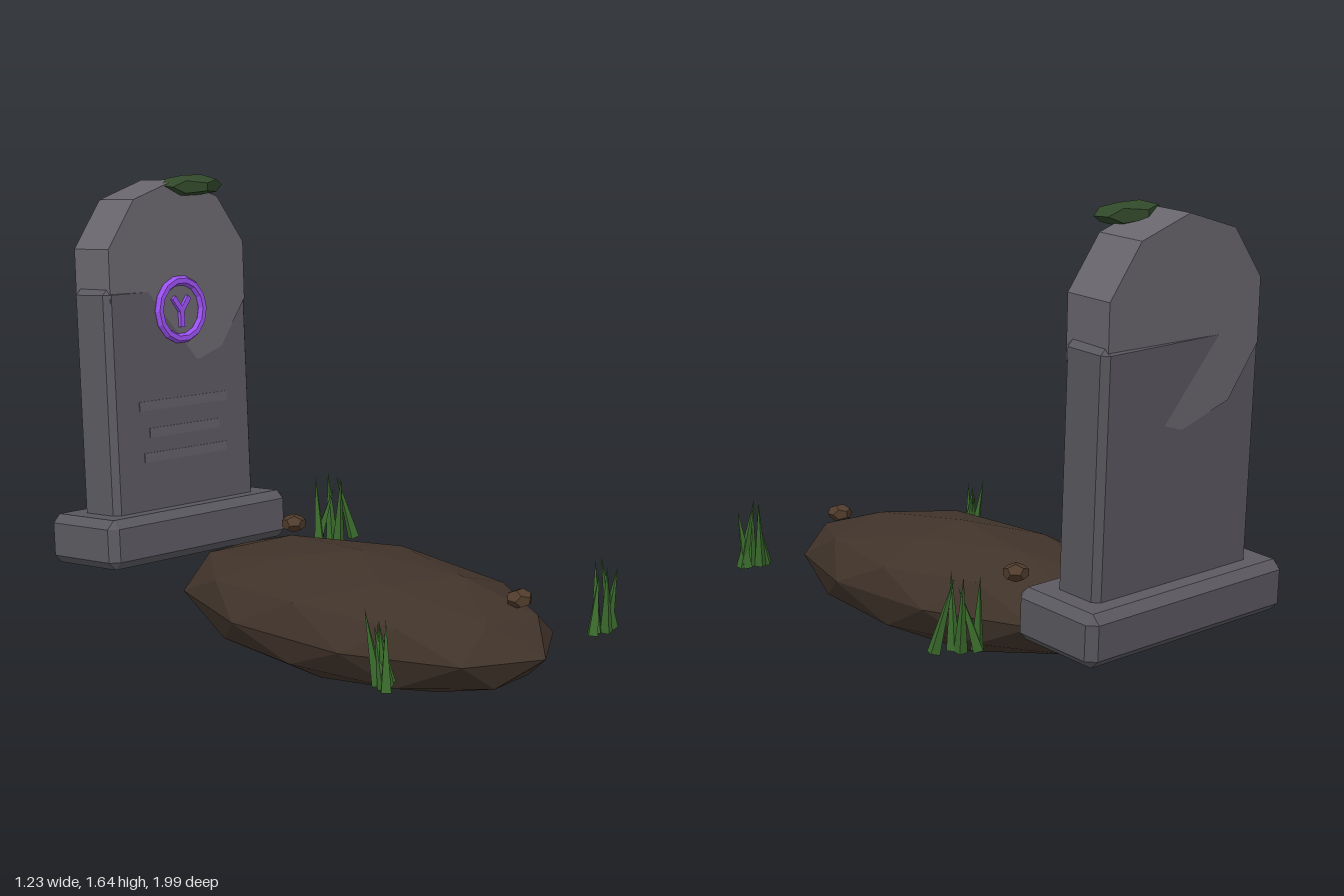
import * as THREE from 'three';
import { ConvexGeometry } from 'three/addons/geometries/ConvexGeometry.js';

const mat = (color) => new THREE.MeshStandardMaterial({ color, flatShading: true });
const stone = mat(0x5a585f);
const headStone = mat(0x68656c);
const carved = mat(0x605e65);
const rune = mat(0x9a50f0);
const earth = mat(0x40332a);
const pebbleEarth = mat(0x503c2c);
const mossGreen = mat(0x31482a);
const grassGreen = mat(0x3a6a2c);

function part(parent, name, geometry, material, x = 0, y = 0, z = 0) {
  const mesh = new THREE.Mesh(geometry, material);
  mesh.name = name;
  mesh.position.set(x, y, z);
  parent.add(mesh);
  return mesh;
}

// Box with every edge and corner cut at 45 degrees
function chamferBox(w, h, d, c) {
  const pts = [];
  for (const sx of [-1, 1]) for (const sy of [-1, 1]) for (const sz of [-1, 1]) {
    const [x, y, z] = [w / 2, h / 2, d / 2];
    pts.push(
      new THREE.Vector3(sx * x, sy * (y - c), sz * (z - c)),
      new THREE.Vector3(sx * (x - c), sy * y, sz * (z - c)),
      new THREE.Vector3(sx * (x - c), sy * (y - c), sz * z)
    );
  }
  return new ConvexGeometry(pts);
}

// Straight bar between two points of the emblem plane
function bar(parent, name, x1, y1, x2, y2, z) {
  const len = Math.hypot(x2 - x1, y2 - y1);
  const m = part(parent, name, new THREE.BoxGeometry(0.02, len, 0.02), rune, (x1 + x2) / 2, (y1 + y2) / 2, z);
  m.rotation.z = Math.atan2(y2 - y1, x2 - x1) - Math.PI / 2;
}

function createHeadstone() {
  const g = new THREE.Group();
  g.name = 'headstone';
  g.position.set(-0.08, 0.335, -0.77);
  g.rotation.set(-0.105, 0, -0.062);

  part(g, 'plinth', chamferBox(0.89, 0.18, 0.36, 0.03), stone);
  part(g, 'slab', chamferBox(0.7, 0.9, 0.19, 0.022), stone, 0, 0.46, 0);

  // Ten-sided head, slightly skewed so it emerges through the slab
  const head = new THREE.CylinderGeometry(0.347, 0.347, 0.19, 10).rotateX(Math.PI / 2);
  part(g, 'roundedHead', head, headStone, 0, 0.945, 0.003).rotation.set(0.013, -0.015, 0);

  // Emblem: ring with a three-armed fork
  const ey = 0.815, ez = 0.1;
  part(g, 'emblemRing', new THREE.TorusGeometry(0.108, 0.018, 6, 14), rune, 0, ey, ez);
  bar(g, 'emblemStem', 0, ey - 0.065, 0, ey, ez);
  for (const s of [-1, 1]) bar(g, 'emblemArm', 0, ey - 0.005, s * 0.038, ey + 0.045, ez);

  // Worn strips across the face
  [[0.475, 0.44], [0.375, 0.35], [0.285, 0.41]].forEach(([y, w]) =>
    part(g, 'faceStrip', new THREE.BoxGeometry(w, 0.034, 0.014), carved, 0, y, 0.091));
  return g;
}

function createMound() {
  // Faceted ball with its five-fold axis upright
  const geo = new THREE.IcosahedronGeometry(1, 1)
    .rotateX(-Math.atan((1 + Math.sqrt(5)) / 2))
    .rotateY(Math.PI / 10)
    .scale(0.41, 0.218, 0.797);
  const mound = new THREE.Mesh(geo, earth);
  mound.name = 'earthMound';
  mound.position.set(-0.09, 0.221, 0.203);
  mound.rotation.x = -0.02;
  return mound;
}

// Blades as [baseX, baseZ, tipX, tipZ, height]
const CLUMPS = [
  [[-0.595, 0.76, -0.575, 0.74, 0.23], [-0.565, 0.7, -0.585, 0.66, 0.25], [-0.555, 0.73, -0.575, 0.71, 0.22],
    [-0.525, 0.71, -0.56, 0.69, 0.2], [-0.58, 0.74, -0.55, 0.67, 0.19]],
  [[0.275, 0.92, 0.33, 0.9, 0.2], [0.31, 0.91, 0.335, 0.88, 0.25], [0.34, 0.93, 0.32, 0.94, 0.24],
    [0.385, 0.92, 0.34, 0.9, 0.26], [0.37, 0.91, 0.395, 0.93, 0.22]],
  [[0.46, -0.525, 0.515, -0.49, 0.21], [0.455, -0.51, 0.475, -0.55, 0.25], [0.52, -0.47, 0.512, -0.45, 0.26],
    [0.515, -0.5, 0.54, -0.545, 0.26], [0.59, -0.455, 0.54, -0.5, 0.25]],
];

function createGrass(blades) {
  const g = new THREE.Group();
  g.name = 'grassClump';
  const up = new THREE.Vector3(0, 1, 0);
  blades.forEach(([bx, bz, tx, tz, h], i) => {
    const base = new THREE.Vector3(bx, 0.205, bz);
    const dir = new THREE.Vector3(tx, 0.205 + h, tz).sub(base);
    const geo = new THREE.ConeGeometry(0.023, dir.length(), 4).rotateY(i * 1.3);
    const blade = part(g, 'grassBlade', geo, grassGreen);
    blade.position.copy(base).addScaledVector(dir, 0.5);
    blade.quaternion.setFromUnitVectors(up, dir.normalize());
  });
  return g;
}

export function createModel() {
  const model = new THREE.Group();
  model.name = 'grave';
  model.add(createHeadstone(), createMound());

  // Moss cushion on the crown of the stone
  const moss = part(model, 'mossPatch', new THREE.DodecahedronGeometry(1, 0), mossGreen, 0.067, 1.602, -0.79);
  moss.scale.set(0.132, 0.04, 0.092);
  moss.rotation.z = -0.05;

  // Loose clods of earth
  [[0.005, 0.38, 0.815], [0.14, 0.38, -0.345]].forEach(([x, y, z], i) => {
    const p = part(model, 'pebble', new THREE.DodecahedronGeometry(0.047, 0), pebbleEarth, x, y, z);
    p.scale.y = 0.7;
    p.rotation.y = i * 0.8;
  });

  CLUMPS.forEach((c) => model.add(createGrass(c)));
  return model;
}
